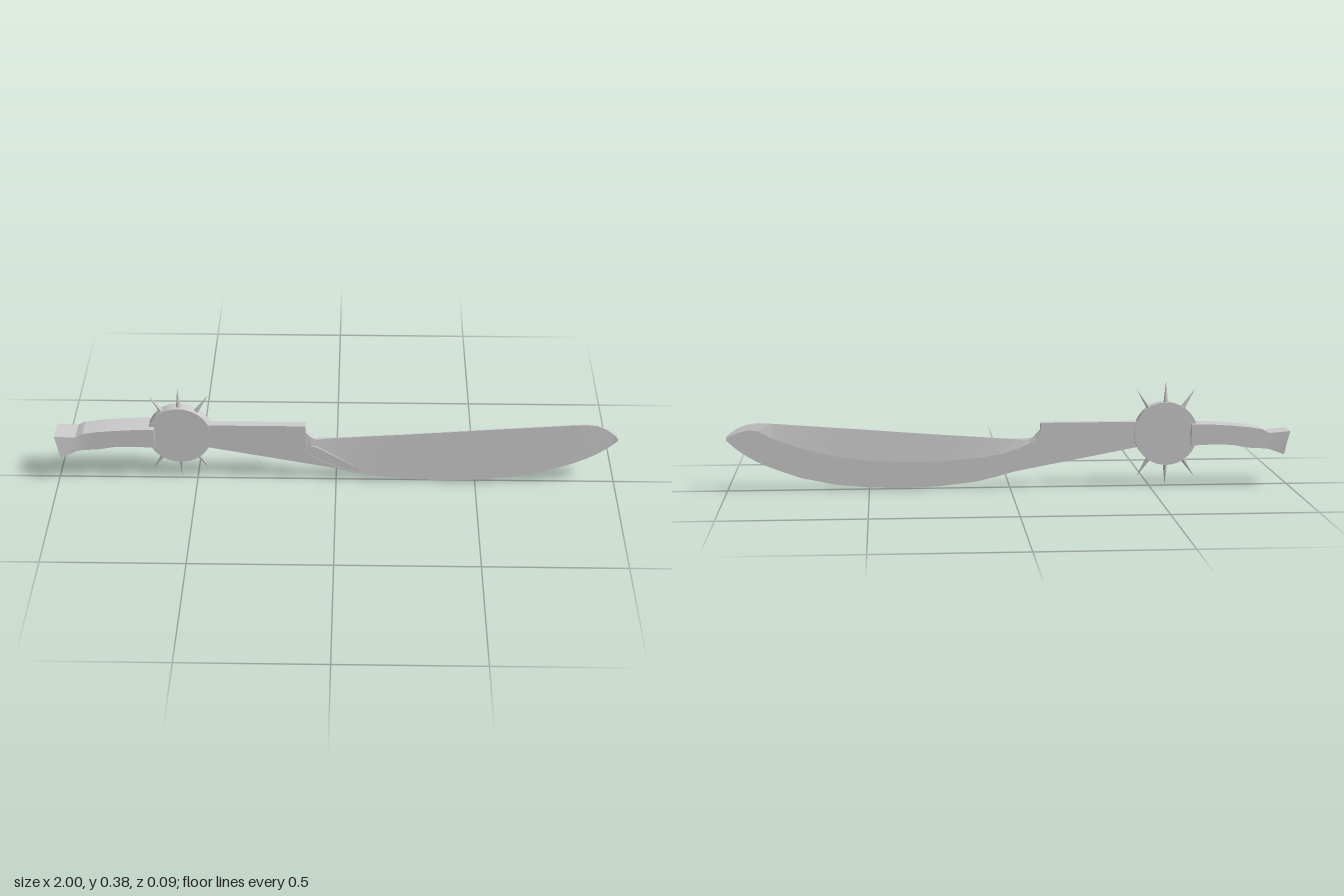
import * as THREE from 'three';
import { toCreasedNormals } from 'three/addons/utils/BufferGeometryUtils.js';

const material = new THREE.MeshStandardMaterial({ color: 0xcccccc, side: THREE.DoubleSide });

function addMesh(parent, name, geometry) {
  const mesh = new THREE.Mesh(geometry, material);
  mesh.name = name;
  parent.add(mesh);
  return mesh;
}

// Closed skin over rings of [x, y, z] points; rings run towards +x, counter-clockwise seen from +x
function loft(rings, crease) {
  const pos = [];
  const tri = (...pts) => pts.forEach((p) => pos.push(...p));
  const n = rings[0].length;
  for (let i = 0; i < rings.length - 1; i++) {
    for (let j = 0; j < n; j++) {
      const k = (j + 1) % n;
      const [a, b, c, d] = [rings[i][j], rings[i][k], rings[i + 1][k], rings[i + 1][j]];
      tri(a, b, d);
      tri(b, c, d);
    }
  }
  const first = rings[0], last = rings[rings.length - 1];
  for (let j = 1; j < n - 1; j++) {
    tri(first[0], first[j + 1], first[j]);
    tri(last[0], last[j], last[j + 1]);
  }
  const geometry = new THREE.BufferGeometry();
  geometry.setAttribute('position', new THREE.Float32BufferAttribute(pos, 3));
  return toCreasedNormals(geometry, crease);
}

export function createModel() {
  const group = new THREE.Group();
  const FRONT = 0.01, BACK = -0.017;

  // Blade: x, bottom y, bevel line y, top y, bevel amount
  const stations = [
    [-0.47, 0.168, 0.20, 0.24, 0],
    [-0.3, 0.152, 0.20, 0.24, 0],
    [-0.18, 0.14, 0.20, 0.24, 0],
    [-0.11, 0.122, 0.20, 0.24, 0],
    [-0.108, 0.121, 0.18, 0.212, 0],
    [-0.09, 0.112, 0.175, 0.192, 0.2],
    [-0.07, 0.1, 0.168, 0.178, 0.6],
    [-0.02, 0.075, 0.145, 0.181, 1],
    [0.04, 0.05, 0.128, 0.185, 1],
    [0.12, 0.031, 0.115, 0.191, 1],
    [0.25, 0.016, 0.105, 0.2, 1],
    [0.38, 0.011, 0.104, 0.21, 1],
    [0.5, 0.015, 0.111, 0.22, 1],
    [0.62, 0.027, 0.128, 0.229, 1],
    [0.74, 0.052, 0.158, 0.238, 1],
    [0.84, 0.088, 0.195, 0.246, 1],
    [0.89, 0.11, 0.222, 0.248, 1],
    [0.925, 0.13, 0.225, 0.244, 1],
    [0.96, 0.154, 0.215, 0.23, 0.8],
    [0.985, 0.176, 0.204, 0.212, 0.4],
    [1, 0.19, 0.195, 0.198, 0],
  ];
  addMesh(group, 'blade', loft(stations.map(([x, bottom, bevel, top, t]) => [
    [x, bottom, FRONT],
    [x, bottom, BACK],
    [x, bevel, BACK],
    [x, top, BACK + 0.01 * t],
    [x, top, FRONT - 0.013 * t],
  ]), 0.08));

  // Thin web on the front that fills the corner under the blade root
  const web = new THREE.Shape([
    [-0.47, 0.148], [-0.02, 0.063], [0.08, 0.037], [0.08, 0.06], [-0.07, 0.15], [-0.47, 0.2],
  ].map(([x, y]) => new THREE.Vector2(x, y)));
  const webGeometry = new THREE.ExtrudeGeometry(web, { depth: 0.008, bevelEnabled: false });
  addMesh(group, 'bladeRootWeb', webGeometry.translate(0, 0, 0.0015));

  // Round guard with six spikes
  const guard = new THREE.Group();
  guard.name = 'guard';
  guard.position.set(-0.557, 0.197, -0.0055);
  group.add(guard);
  const disc = new THREE.CylinderGeometry(0.113, 0.113, 0.039, 40).rotateX(Math.PI / 2);
  addMesh(guard, 'guardDisc', disc);
  for (const side of [0, Math.PI]) {
    for (const lean of [-0.585, 0, 0.585]) {
      const spike = new THREE.ConeGeometry(0.0105, 0.104, 14).translate(0, 0.139, 0);
      addMesh(guard, 'spike', spike).rotation.z = side + lean;
    }
  }

  // Handle: bottom x, bottom y, top x, top y, front z, back z, then front z and back z of the bottom edge
  const grip = [
    [-0.982, 0.119, -1, 0.205, 0.04, -0.045, 0.048, -0.034],
    [-0.925, 0.141, -0.925, 0.199, 0.034, -0.047, 0.036, -0.045],
    [-0.9, 0.144, -0.9, 0.213, 0.032, -0.047, 0.032, -0.047],
    [-0.85, 0.147, -0.85, 0.221, 0.032, -0.047, 0.032, -0.047],
    [-0.79, 0.158, -0.79, 0.227, 0.032, -0.047, 0.032, -0.047],
    [-0.72, 0.16, -0.72, 0.232, 0.032, -0.047, 0.032, -0.047],
    [-0.645, 0.157, -0.645, 0.233, 0.032, -0.047, 0.032, -0.047],
  ];
  addMesh(group, 'handle', loft(grip.map(([bx, by, tx, ty, tf, tb, bf, bb]) => [
    [bx, by, bf], [bx, by, bb], [tx, ty, tb], [tx, ty, tf],
  ]), 0.3));

  return group;
}
